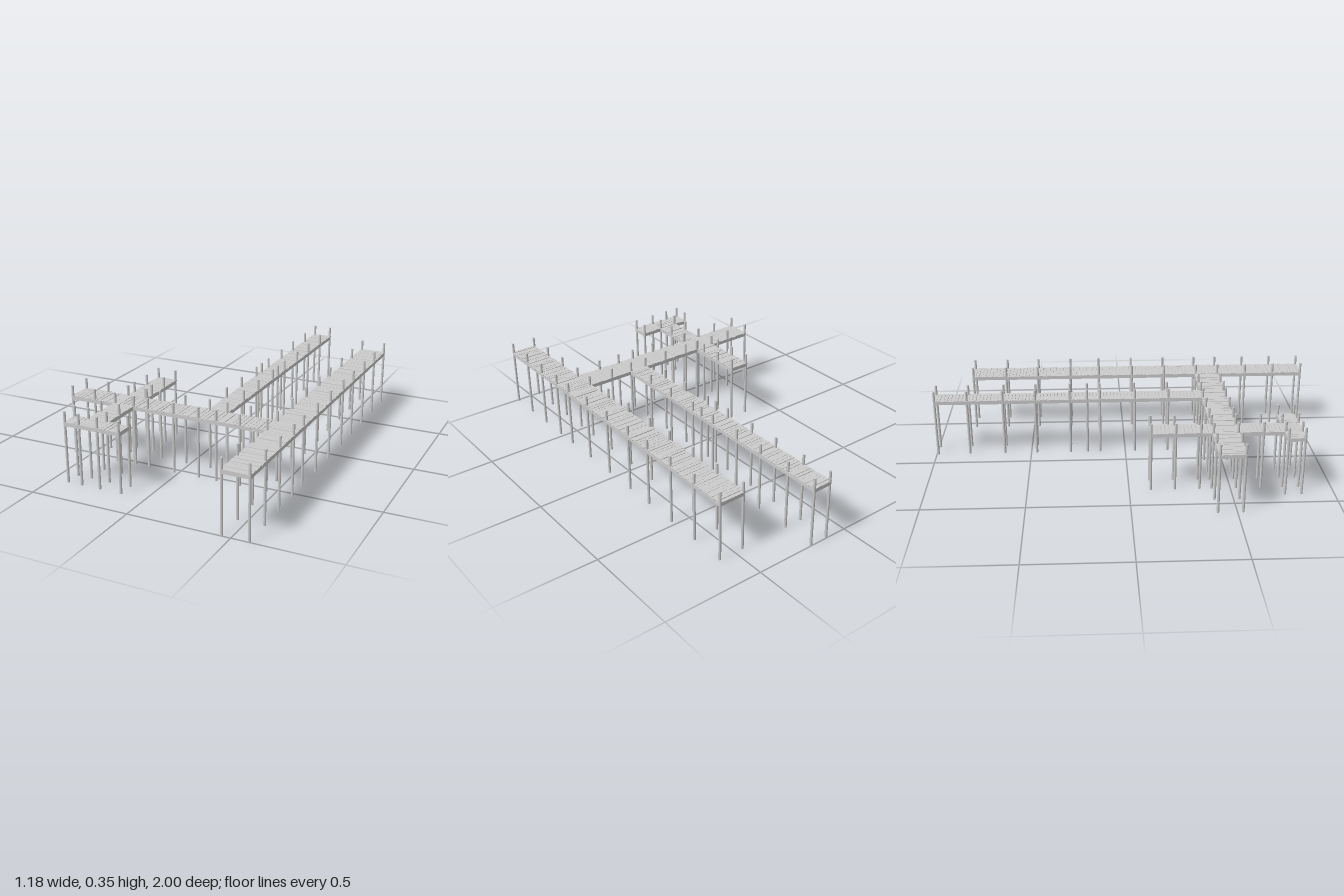
import * as THREE from 'three';
import { mergeGeometries } from 'three/addons/utils/BufferGeometryUtils.js';

const POST_H = 0.353, POST_R = 0.0065, BEAM_Y = 0.2915, BEAM_H = 0.018, BEAM_W = 0.011;
const PLANK_Y = 0.2985, PLANK_T = 0.006, PITCH = 0.0185, OVERHANG = 0.006;

let seed = 7;
const rnd = () => {
  seed = (seed * 16807) % 2147483647;
  return seed / 2147483647 - 0.5;
};

// Each pier runs along one axis; sides = its two post lines, span = its ends,
// posts = positions along the run, decks = stretches covered by its planks.
const PIERS = [
  { name: 'mainPier', axis: 'z', sides: [0.455, 0.582], span: [-0.825, 0.993],
    posts: [-0.825, -0.645, -0.471, -0.291, -0.133, 0.05, 0.23, 0.407, 0.527, 0.682, 0.837, 0.993],
    decks: [[-0.83, 1]] },
  { name: 'backPier', axis: 'z', sides: [0.108, 0.2], span: [-0.993, 0.407],
    posts: [-0.993, -0.825, -0.64, -0.471, -0.291, -0.2, -0.133, 0.05, 0.225, 0.407],
    decks: [[-0.998, 0.402]] },
  { name: 'crossPier', axis: 'x', sides: [0.407, 0.527], span: [-0.583, 0.455],
    posts: [-0.583, -0.455, -0.34, -0.236, -0.16, -0.023, 0.108, 0.2, 0.32],
    decks: [[-0.59, 0.449]] },
  { name: 'sidePier', axis: 'z', sides: [-0.34, -0.242], span: [0.106, 0.838],
    posts: [0.106, 0.225, 0.347, 0.407, 0.527, 0.65, 0.757, 0.838],
    decks: [[0.1, 0.402], [0.532, 0.844]] },
  { name: 'endPlatform', axis: 'x', sides: [0.757, 0.838], span: [-0.415, -0.129],
    posts: [-0.415, -0.129],
    decks: [[-0.42, -0.345], [-0.237, -0.124]] },
];

// Box with its length along the run, its width across it
function box(axis, along, across, y, length, width, height) {
  const g = axis === 'x'
    ? new THREE.BoxGeometry(length, height, width)
    : new THREE.BoxGeometry(width, height, length);
  return axis === 'x' ? g.translate(along, y, across) : g.translate(across, y, along);
}

function plankDeck({ axis, sides, decks }) {
  const planks = [];
  const mid = (sides[0] + sides[1]) / 2;
  const width = sides[1] - sides[0] + OVERHANG * 2;
  for (const [a, b] of decks) {
    const n = Math.round((b - a) / PITCH);
    const step = (b - a) / n;
    for (let i = 0; i < n; i++) {
      // slightly uneven size, angle and height
      const g = box(axis, 0, 0, 0, step * (0.92 + rnd() * 0.08), width + rnd() * 0.006, PLANK_T);
      g.rotateY(rnd() * 0.025);
      const along = a + (i + 0.5) * step, y = PLANK_Y + rnd() * 0.003;
      planks.push(axis === 'x' ? g.translate(along, y, mid) : g.translate(mid, y, along));
    }
  }
  return mergeGeometries(planks);
}

function beams({ axis, sides, span }) {
  const [a, b] = span, mid = (sides[0] + sides[1]) / 2;
  return mergeGeometries([
    // long side beams
    ...sides.map(s => box(axis, (a + b) / 2, s, BEAM_Y, b - a, BEAM_W, BEAM_H)),
    // end beams
    ...span.map(e => box(axis, e, mid, BEAM_Y, BEAM_W, sides[1] - sides[0], BEAM_H)),
  ]);
}

function postRows({ axis, sides, posts }) {
  const list = [];
  for (const s of sides) for (const p of posts) {
    const g = new THREE.CylinderGeometry(POST_R, POST_R, POST_H, 8);
    list.push(axis === 'x' ? g.translate(p, POST_H / 2, s) : g.translate(s, POST_H / 2, p));
  }
  return mergeGeometries(list);
}

export function createModel() {
  const model = new THREE.Group();
  model.name = 'woodenPiers';
  const material = new THREE.MeshStandardMaterial({ color: 0xcccccc });
  for (const pier of PIERS) {
    const group = new THREE.Group();
    group.name = pier.name;
    const parts = { planks: plankDeck(pier), beams: beams(pier), posts: postRows(pier) };
    for (const [name, geometry] of Object.entries(parts)) {
      const mesh = new THREE.Mesh(geometry, material);
      mesh.name = name;
      group.add(mesh);
    }
    model.add(group);
  }
  return model;
}
